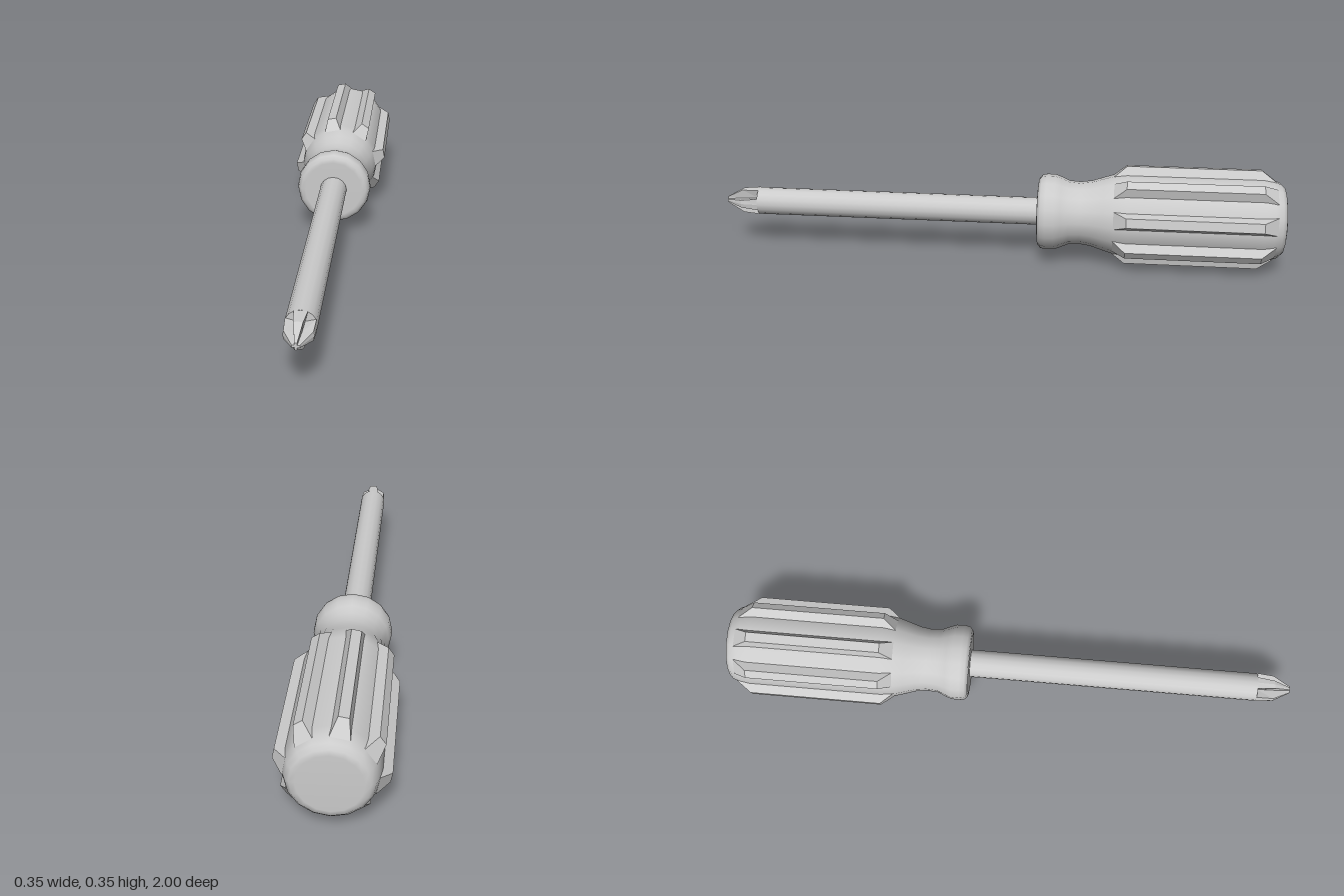
import * as THREE from 'three';

const AXIS_Y = 0.1745;
const SIDES = 16;
const material = new THREE.MeshStandardMaterial({ color: 0xcccccc });

// Revolve [radius, z] points around the z axis
function revolve(name, profile) {
  const points = profile.map(([r, z]) => new THREE.Vector2(r, z));
  const geometry = new THREE.LatheGeometry(points, SIDES).rotateX(Math.PI / 2);
  const mesh = new THREE.Mesh(geometry, material);
  mesh.name = name;
  return mesh;
}

// Grip ridge: a box tapered towards its outer face, with sloped ends
function ridgeGeometry() {
  const box = new THREE.BoxGeometry(1, 1, 1).toNonIndexed();
  const p = box.attributes.position;
  for (let i = 0; i < p.count; i++) {
    const outer = p.getY(i) > 0;
    const front = p.getZ(i) > 0;
    p.setXYZ(i,
      Math.sign(p.getX(i)) * (outer ? 0.0165 : 0.031),
      outer ? 0.1745 : 0.137,
      front ? (outer ? -0.45 : -0.405) : (outer ? -0.915 : -0.965));
  }
  box.computeVertexNormals();
  return box;
}

// Cross-shaped tip lofted through rings of four flared blades
function tipGeometry() {
  const rings = [ // z, blade reach, blade half width, flute depth corner
    [0.88, 0.048, 0.021, 0.013],
    [0.94, 0.045, 0.014, 0.010],
    [1.0, 0.012, 0.004, 0.004],
  ];
  const n = 16;
  const positions = [];
  const index = [];
  for (const [z, r, h, c] of rings) {
    for (let k = 0; k < 4; k++) {
      const ca = Math.cos(k * Math.PI / 2), sa = Math.sin(k * Math.PI / 2);
      for (const [x, y] of [[r * 0.95, -h], [r, 0], [r * 0.95, h], [c, c]]) {
        positions.push(x * ca - y * sa, x * sa + y * ca, z);
      }
    }
  }
  for (let j = 0; j < rings.length - 1; j++) {
    for (let i = 0; i < n; i++) {
      const a = j * n + i, b = j * n + (i + 1) % n;
      index.push(a, b, b + n, a, b + n, a + n);
    }
  }
  // End face
  const last = (rings.length - 1) * n;
  positions.push(0, 0, 1);
  for (let i = 0; i < n; i++) index.push(last + i, last + (i + 1) % n, last + n);
  const geometry = new THREE.BufferGeometry();
  geometry.setAttribute('position', new THREE.Float32BufferAttribute(positions, 3));
  geometry.setIndex(index);
  const flat = geometry.toNonIndexed();
  flat.computeVertexNormals();
  return flat;
}

export function createModel() {
  const model = new THREE.Group();
  model.name = 'screwdriver';
  const tool = new THREE.Group();
  tool.position.y = AXIS_Y;
  model.add(tool);

  // Handle: rounded butt, straight grip, waisted neck and collar
  tool.add(revolve('handle', [
    [0, -1], [0.1, -1], [0.118, -0.996], [0.132, -0.982], [0.142, -0.955], [0.146, -0.92],
    [0.146, -0.45], [0.142, -0.41], [0.13, -0.37], [0.117, -0.33], [0.111, -0.29],
    [0.114, -0.25], [0.126, -0.222], [0.134, -0.2], [0.135, -0.17],
    [0.131, -0.152], [0.12, -0.142], [0.105, -0.14], [0, -0.14],
  ]));

  // Eight ridges, each on every second side of the handle
  const ridge = ridgeGeometry();
  for (let i = 0; i < 8; i++) {
    const mesh = new THREE.Mesh(ridge, material);
    mesh.name = 'gripRidge';
    mesh.rotation.z = Math.PI / SIDES + i * Math.PI / 4;
    tool.add(mesh);
  }

  // Shaft, with its flat front end showing behind the flutes
  const shaftGeometry = new THREE.CylinderGeometry(0.049, 0.049, 1.04, SIDES).rotateX(Math.PI / 2);
  const shaft = new THREE.Mesh(shaftGeometry, material);
  shaft.name = 'shaft';
  shaft.position.z = 0.36;
  tool.add(shaft);

  // Fluted cross tip
  const tip = new THREE.Mesh(tipGeometry(), material);
  tip.name = 'crossTip';
  tool.add(tip);

  return model;
}
